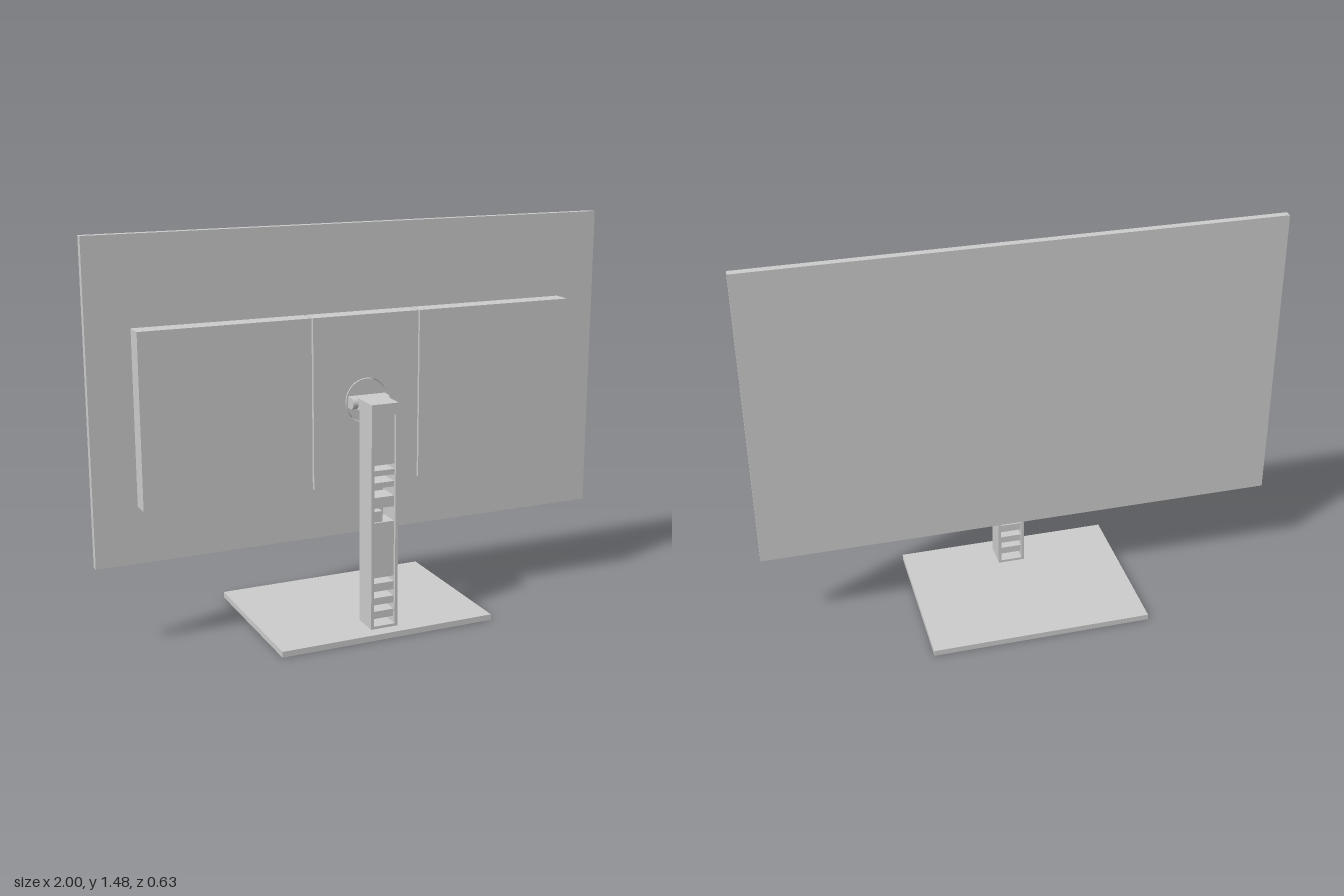
import * as THREE from 'three';

const mat = new THREE.MeshStandardMaterial({ color: 0xcccccc });

export function createModel() {
  const model = new THREE.Group();

  const add = (name, geometry, parent = model) => {
    const mesh = new THREE.Mesh(geometry, mat);
    mesh.name = name;
    parent.add(mesh);
    return mesh;
  };

  // Box given by its limits on each axis
  const box = (name, [x0, x1], [y0, y1], [z0, z1], parent) => {
    const mesh = add(name, new THREE.BoxGeometry(x1 - x0, y1 - y0, z1 - z0), parent);
    mesh.position.set((x0 + x1) / 2, (y0 + y1) / 2, (z0 + z1) / 2);
    return mesh;
  };

  // Screen: thin glass on one side, shell on the other
  box('screenGlass', [-1, 1], [0.32, 1.478], [0, 0.004]);
  box('screenShell', [-1, 1], [0.32, 1.478], [0.004, 0.03]);

  // Rear housing in three sections with narrow seams between them
  const housing = new THREE.Group();
  housing.name = 'rearHousing';
  model.add(housing);
  const seam = 0.21, gap = 0.003;
  const low = 0.53, high = 1.16, back = 0.03, face = 0.105, hub = 0.845;
  for (const s of [-1, 1]) {
    const xs = [s * (seam + gap), s * 0.842].sort((a, b) => a - b);
    box('housingSide', xs, [low, high], [back, face], housing);
  }

  // Middle section with a round opening for the mount
  const w = seam - gap;
  const outline = new THREE.Shape([
    new THREE.Vector2(-w, low), new THREE.Vector2(w, low),
    new THREE.Vector2(w, high), new THREE.Vector2(-w, high),
  ]);
  outline.holes.push(new THREE.Path().absarc(0, hub, 0.083, 0, Math.PI * 2, true));
  const middle = add('housingMiddle', new THREE.ExtrudeGeometry(outline, {
    depth: face - back, bevelEnabled: false, curveSegments: 32,
  }), housing);
  middle.position.z = back;

  const disc = add('mountDisc', new THREE.CylinderGeometry(0.08, 0.08, face - back, 48));
  disc.rotation.x = Math.PI / 2;
  disc.position.set(0, hub, (face + back) / 2);

  // Tilt hinge: a rounded bar across the top arm
  const pin = add('hingePin', new THREE.CylinderGeometry(0.021, 0.021, 0.146, 32));
  pin.rotation.z = Math.PI / 2;
  pin.position.set(0, hub, 0.132);
  box('hingeBlock', [-0.073, 0.073], [0.824, 0.866], [face, 0.132]);

  // Stand column: two side walls, a cap and an arm to the hinge
  const column = new THREE.Group();
  column.name = 'column';
  model.add(column);
  const half = 0.053, inner = 0.042, floor = 0.022;
  for (const s of [-1, 1]) {
    const xs = [s * inner, s * half].sort((a, b) => a - b);
    box('columnWall', xs, [floor, 0.824], [0.16, 0.265], column);
  }
  box('columnCapAndArm', [-half, half], [0.824, 0.866], [face, 0.265], column);
  box('columnFoot', [-inner, inner], [floor, 0.032], [0.16, 0.265], column);

  // Recessed panels and crossbars inside the column, open slots between
  const fills = [
    [0.057, 0.085], [0.11, 0.137], [0.162, 0.193], [0.215, 0.425],
    [0.48, 0.52], [0.555, 0.575], [0.6, 0.62], [0.64, 0.824],
  ];
  for (const ys of fills) {
    box('columnCrossbar', [-inner, inner], ys, [0.172, 0.253], column);
  }
  box('cableClip', [-inner, 0], [0.425, 0.465], [0.172, 0.245], column);

  // Flat base plate
  box('base', [-0.42, 0.42], [0, floor], [-0.315, 0.315]);

  return model;
}
